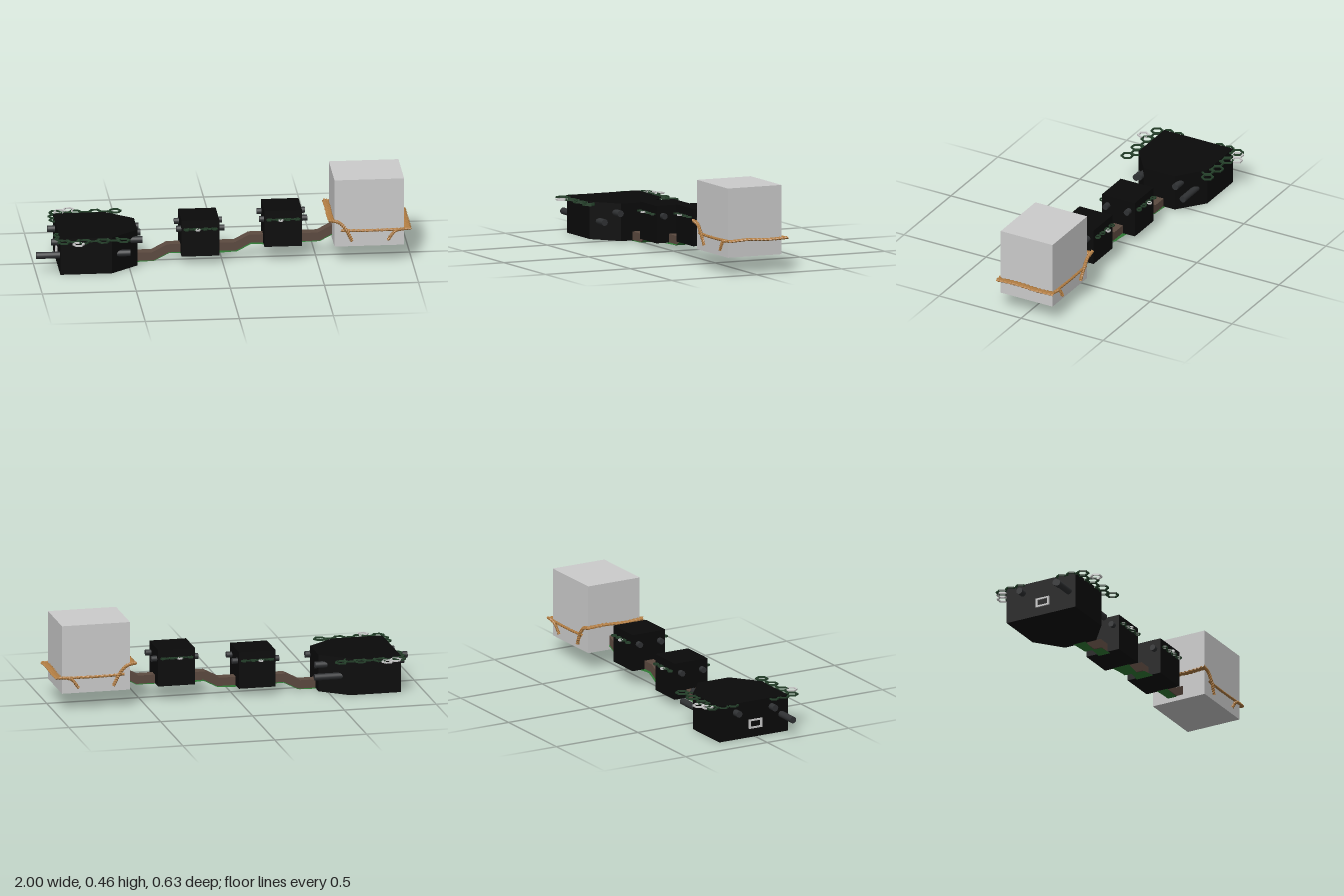
import * as THREE from 'three';

const mat = (color, extra = {}) => new THREE.MeshStandardMaterial({ color, ...extra });
const black = mat(0x0a0a0a);
const grey = mat(0xcccccc);
const brown = mat(0x5c4a40, { flatShading: true });
const green = mat(0x2f7a35, { side: THREE.DoubleSide });
const rodMat = mat(0x303234);
const ringMat = mat(0x24402a);
const ropeMat = mat(0xb07c42, { flatShading: true });

export function createModel() {
  const model = new THREE.Group();
  const add = (name, geo, material, x = 0, y = 0, z = 0, parent = model) => {
    const m = new THREE.Mesh(geo, material);
    m.name = name;
    m.position.set(x, y, z);
    parent.add(m);
    return m;
  };
  const group = (name) => {
    const g = new THREE.Group();
    g.name = name;
    model.add(g);
    return g;
  };
  const polygon = (pts) => new THREE.Shape(pts.map(([x, y]) => new THREE.Vector2(x, y)));
  // rod along x from x0 to x1
  const rod = (parent, x0, x1, y, z, r) => {
    const geo = new THREE.CylinderGeometry(r, r, x1 - x0, 16).rotateZ(Math.PI / 2);
    add('rod', geo, rodMat, (x0 + x1) / 2, y, z, parent);
  };
  // flat hexagonal ring lying in the horizontal plane
  const hexRing = (parent, x, y, z, r, material) => {
    const s = [0, 1, 2, 3, 4, 5].map((i) => [Math.cos(i * Math.PI / 3), Math.sin(i * Math.PI / 3)]);
    const shape = polygon(s.map(([a, b]) => [a * r, b * r]));
    shape.holes.push(new THREE.Path(s.map(([a, b]) => new THREE.Vector2(a * r * 0.74, b * r * 0.74))));
    const geo = new THREE.ExtrudeGeometry(shape, { depth: 0.008, bevelEnabled: false });
    add('hexRing', geo.rotateX(-Math.PI / 2), material, x, y, z, parent);
  };

  // Head block: tapered towards +x, shape drawn in x and -z
  const head = group('headBlock');
  const outline = polygon([[-0.875, -0.2], [-0.6, -0.2], [-0.455, -0.085],
    [-0.455, 0.105], [-0.6, 0.22], [-0.875, 0.22]]);
  add('headBody', new THREE.ExtrudeGeometry(outline, { depth: 0.2, bevelEnabled: false })
    .rotateX(-Math.PI / 2), black, 0, 0.007, 0, head);
  rod(head, -1, -0.5, 0.105, 0.16, 0.018);
  rod(head, -0.6, -0.415, 0.105, -0.175, 0.018);
  for (const z of [0.1, -0.12]) rod(head, -0.915, -0.43, 0.157, z, 0.018);

  // Square frame on the head's end face
  const frame = polygon([[-0.04, -0.025], [0.04, -0.025], [0.04, 0.025], [-0.04, 0.025]]);
  frame.holes.push(new THREE.Path([[-0.03, -0.016], [-0.03, 0.016], [0.03, 0.016], [0.03, -0.016]]
    .map(([x, y]) => new THREE.Vector2(x, y))));
  add('endFrame', new THREE.ExtrudeGeometry(frame, { depth: 0.008, bevelEnabled: false })
    .rotateY(-Math.PI / 2), grey, -0.874, 0.08, 0, head);

  // Honeycomb rings along the head's upper rim
  const comb = group('honeycombRim');
  for (const side of [1, -1]) {
    const edge = (d) => -0.01 + side * d;
    for (let i = 0; i < 7; i++) {
      hexRing(comb, -0.86 + i * 0.053, 0.196, edge(i % 2 ? 0.215 : 0.245), 0.035, ringMat);
    }
    for (let i = 0; i < 2; i++) hexRing(comb, -0.875, 0.196, edge(0.125 + i * 0.06), 0.03, ringMat);
    hexRing(comb, -0.785, 0.196, edge(0.285), 0.033, grey);
  }
  hexRing(comb, -0.835, 0.196, -0.27, 0.033, grey);

  // Two middle cubes with pegs and small rings
  for (const [cx, bottom] of [[-0.12, 0.05], [0.32, 0.09]]) {
    const cube = group('middleCube');
    add('cubeBody', new THREE.BoxGeometry(0.2, 0.2, 0.2), black, cx, bottom + 0.1, -0.01, cube);
    for (const z of [-0.075, 0.055]) rod(cube, cx - 0.125, cx + 0.13, bottom + 0.145, z, 0.016);
    for (const side of [1, -1]) {
      for (let i = 0; i < 7; i++) {
        hexRing(cube, cx - 0.075 + i * 0.025, bottom + 0.15, -0.01 + side * (i % 2 ? 0.099 : 0.112), 0.016, ringMat);
      }
      hexRing(cube, cx - 0.015, bottom + 0.15, -0.01 + side * 0.124, 0.014, grey);
    }
  }

  // Stepped beam joining all the blocks
  const steps = [[-0.5, 0.01], [-0.36, 0.01], [-0.28, 0.052], [0.08, 0.052], [0.155, 0.092], [0.52, 0.092], [0.61, 0.14]];
  const beam = polygon([...steps, ...steps.map(([x, y]) => [x - 0.01, y + 0.045]).reverse()]);
  add('beam', new THREE.ExtrudeGeometry(beam, { depth: 0.055, bevelEnabled: false }),
    brown, 0, 0, -0.037);

  // Thin sheets under the beam, flared towards both ends
  const beamY = (x) => {
    for (let i = 1; i < steps.length; i++) {
      const [a, b] = [steps[i - 1], steps[i]];
      if (x <= b[0]) return a[1] + (b[1] - a[1]) * (x - a[0]) / (b[0] - a[0]);
    }
    return 0.14;
  };
  for (const [x0, x1, mid, end] of [[-0.47, -0.2, 0.027, 0.037], [-0.03, 0.23, 0.036, 0.052], [0.41, 0.59, 0.027, 0.033]]) {
    const sheet = new THREE.PlaneGeometry(1, 1, 24, 2).rotateX(-Math.PI / 2);
    const p = sheet.attributes.position;
    for (let i = 0; i < p.count; i++) {
      const t = p.getX(i), x = x0 + (t + 0.5) * (x1 - x0);
      const half = mid + (end - mid) * (2 * t) ** 2;
      p.setXYZ(i, x, beamY(x) - 0.004, -0.01 + p.getZ(i) * 2 * half);
    }
    sheet.computeVertexNormals();
    add('beamSheet', sheet, green);
  }

  // Large plain block
  add('largeBlock', new THREE.BoxGeometry(0.37, 0.37, 0.316), grey, 0.772, 0.285, -0.009);

  // Rough rope around the large block: a tube roughened by sine waves
  const binding = group('rope');
  const rope = (name, pts, r, sx = 1, sy = 1) => {
    const curve = new THREE.CatmullRomCurve3(pts.map((a) => new THREE.Vector3(...a)));
    const n = 48, sides = 7;
    const geo = new THREE.TubeGeometry(curve, n, r, sides, false);
    const p = geo.attributes.position, c = new THREE.Vector3(), v = new THREE.Vector3();
    for (let i = 0; i < p.count; i++) {
      const ring = Math.floor(i / (sides + 1)), k = i % (sides + 1) % sides;
      curve.getPointAt(ring / n, c);
      v.fromBufferAttribute(p, i).sub(c);
      v.multiplyScalar(0.9 + 0.16 * Math.sin(ring * 1.9 + k * 1.8));
      p.setXYZ(i, c.x + v.x * sx, c.y + v.y * sy, c.z + v.z);
    }
    geo.computeVertexNormals();
    add(name, geo, ropeMat, 0, 0, 0, binding);
  };
  rope('endRope', [[0.977, 0.19, -0.19], [0.977, 0.187, -0.08], [0.977, 0.193, 0.04], [0.977, 0.188, 0.155]], 0.008, 2.7);
  rope('innerRope', [[0.572, 0.243, -0.19], [0.572, 0.247, -0.08], [0.572, 0.24, 0.04], [0.572, 0.245, 0.155]], 0.008, 2.5);
  for (const z of [0.152, -0.178]) {
    const out = Math.sign(z) * 0.004;
    rope('sideRope', [[0.62, 0.19, z], [0.75, 0.186, z], [0.88, 0.187, z], [0.99, 0.19, z]], 0.008);
    rope('sideStrand', [[0.555, 0.25, z + out], [0.61, 0.235, z + out], [0.65, 0.19, z + out], [0.68, 0.13, z]], 0.01);
    rope('sideStrand', [[0.96, 0.19, z], [0.91, 0.18, z + out], [0.87, 0.13, z]], 0.009);
  }
  return model;
}
